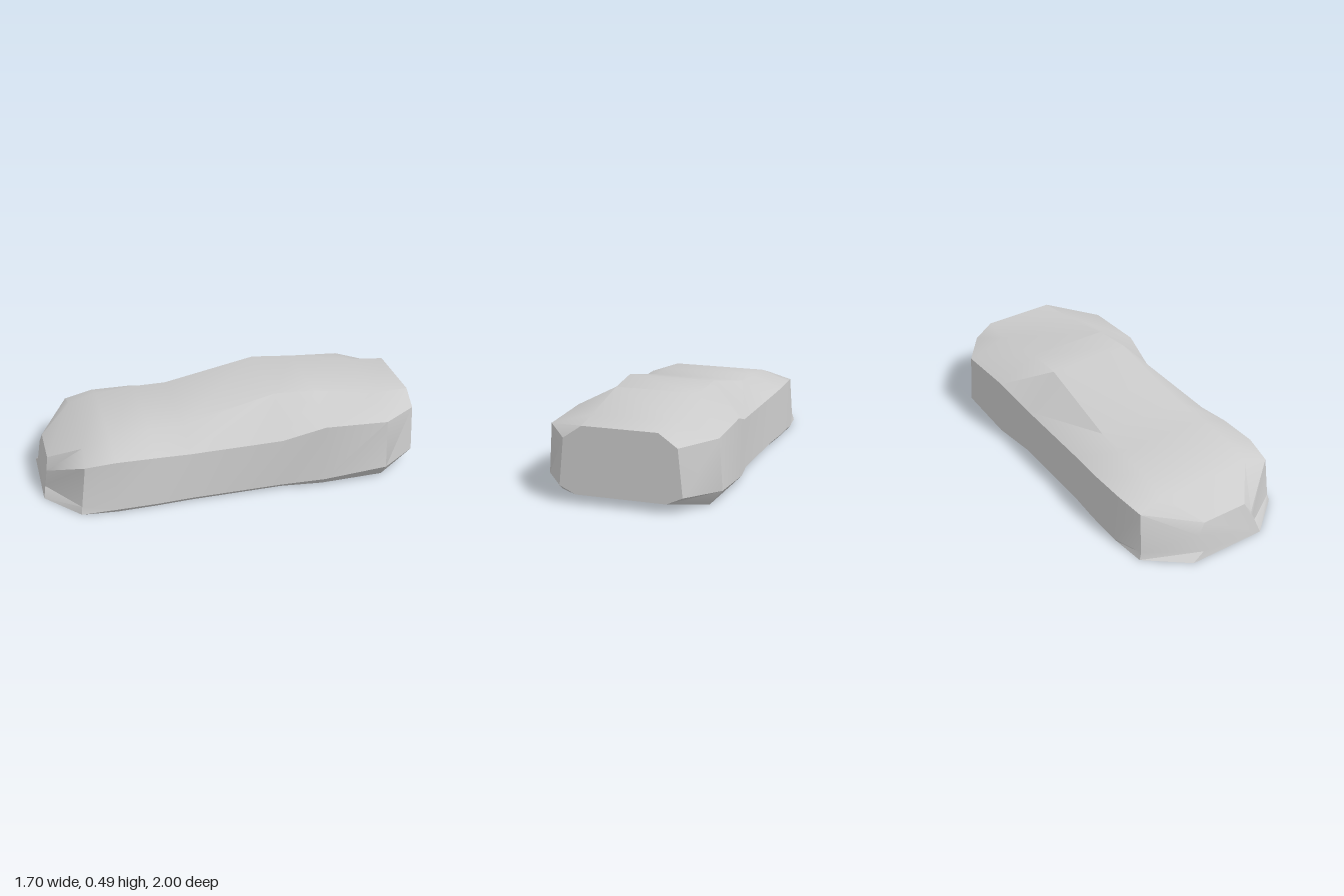
import * as THREE from 'three';
import { toCreasedNormals } from 'three/addons/utils/BufferGeometryUtils.js';

// Cross-sections from back to front, half widths and heights:
// [z, floor w, floor y, side w, side y, shoulder w, shoulder y, ridge w, ridge y, backward lean]
const SECTIONS = [
  [-1.0, 0.24, 0.05, 0.325, 0.09, 0.30, 0.34, 0.20, 0.41, 0],
  [-0.8, 0.40, 0, 0.468, 0.08, 0.45, 0.35, 0.225, 0.415, 0],
  [-0.45, 0.42, 0, 0.468, 0.05, 0.45, 0.36, 0.23, 0.475, 0],
  [-0.22, 0.40, 0, 0.427, 0.025, 0.415, 0.29, 0.24, 0.49, 0],
  [0.29, 0.42, 0, 0.437, 0.02, 0.42, 0.28, 0.26, 0.375, 0],
  [0.475, 0.435, 0, 0.452, 0.02, 0.435, 0.29, 0.265, 0.37, 0],
  [0.69, 0.445, 0, 0.459, 0.02, 0.435, 0.29, 0.27, 0.35, 0],
  [0.88, 0.432, 0, 0.42, 0.04, 0.41, 0.265, 0.27, 0.305, 0.12],
  [1.055, 0.22, 0, 0.15, 0.04, 0.17, 0.14, 0.13, 0.2, 0.19],
];

// Mirrored ring of corners, counter-clockwise seen from the front
function ring([z, ...v]) {
  const lean = v[8];
  const half = [0, 2, 4, 6].map((k) => [v[k], v[k + 1], z - lean * v[k + 1]]);
  return [...half, ...half.slice().reverse().map(([x, y, d]) => [-x, y, d])];
}

function loft(rings) {
  const n = rings[0].length;
  const index = [];
  for (let i = 0; i < rings.length - 1; i++) {
    for (let j = 0; j < n; j++) {
      const a = i * n + j, b = i * n + (j + 1) % n;
      index.push(a, b, a + n, b, b + n, a + n);
    }
  }
  // End faces
  const front = (rings.length - 1) * n;
  for (let j = 1; j < n - 1; j++) {
    index.push(0, j + 1, j);
    index.push(front, front + j, front + j + 1);
  }
  const geometry = new THREE.BufferGeometry();
  geometry.setAttribute('position', new THREE.Float32BufferAttribute(rings.flat(2), 3));
  geometry.setIndex(index);
  return toCreasedNormals(geometry, 0.65);
}

export function createModel() {
  const group = new THREE.Group();
  const material = new THREE.MeshStandardMaterial({ color: 0xcccccc, side: THREE.DoubleSide });

  // Waisted body, turned diagonally on the floor
  const body = new THREE.Mesh(loft(SECTIONS.map(ring)), material);
  body.name = 'body';
  body.rotation.y = -0.61;
  body.position.set(0.005, 0, 0.004);
  group.add(body);
  return group;
}
